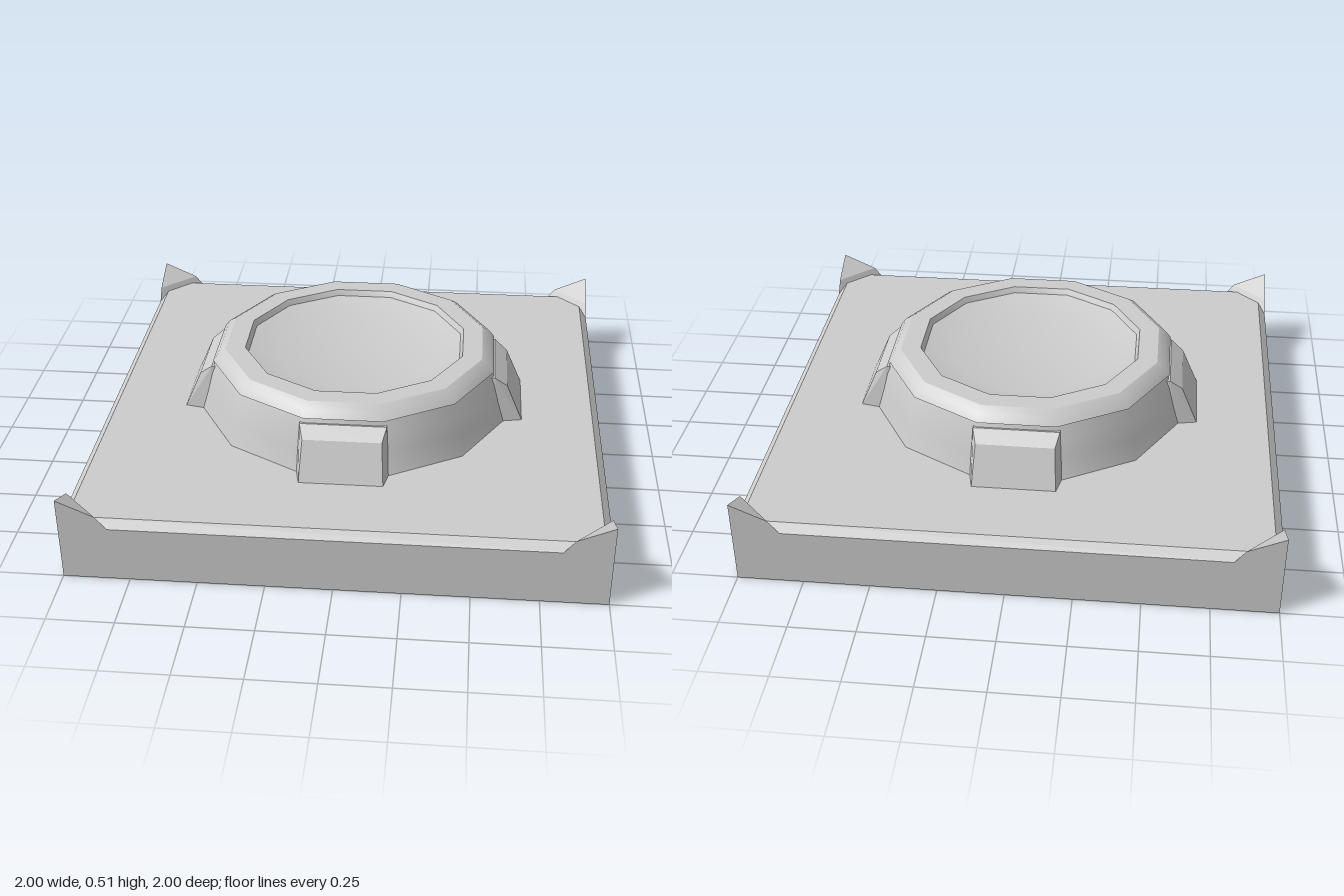
import * as THREE from 'three';
import { toCreasedNormals } from 'three/addons/utils/BufferGeometryUtils.js';
import { ConvexGeometry } from 'three/addons/geometries/ConvexGeometry.js';

const material = new THREE.MeshStandardMaterial({ color: 0xcccccc });

function hull(name, points) {
  const geometry = new ConvexGeometry(points.map((p) => new THREE.Vector3(...p)));
  const mesh = new THREE.Mesh(geometry, material);
  mesh.name = name;
  return mesh;
}

// Four corners of a horizontal square
const square = (r, y) => [[-r, y, -r], [r, y, -r], [r, y, r], [-r, y, r]];

// Mirrored pair of points across x = 0
const pair = (x, y, z) => [[-x, y, z], [x, y, z]];

export function createModel() {
  const group = new THREE.Group();

  // Square slab with a chamfered top edge
  group.add(hull('basePlate', [...square(1, 0), ...square(1, 0.22), ...square(0.97, 0.25)]));

  // Twelve-sided socket: flared wall, chamfered lip, shallow dish (apothem, height)
  const profile = [
    [0.618, 0.245], [0.595, 0.33], [0.575, 0.41], [0.555, 0.46],
    [0.565, 0.46], [0.545, 0.488], [0.515, 0.508],
    [0.437, 0.508], [0.425, 0.485], [0.315, 0.45], [0, 0.45],
  ].map(([a, y]) => new THREE.Vector2(a / Math.cos(Math.PI / 12), y));
  const ringGeometry = new THREE.LatheGeometry(profile, 12).rotateY(Math.PI / 12);
  const ring = new THREE.Mesh(toCreasedNormals(ringGeometry, 0.58), material);
  ring.name = 'socketRing';
  group.add(ring);

  for (let i = 0; i < 4; i++) {
    // Sloped buttress on each side of the socket
    const buttress = hull('buttress', [
      ...pair(0.16, 0.245, 0.687), ...pair(0.15, 0.4, 0.62),
      ...pair(0.165, 0.44, 0.57), ...pair(0.165, 0.44, 0.53),
      ...pair(0.178, 0.245, 0.6), ...pair(0.178, 0.245, 0.53),
    ]);
    buttress.rotation.y = (i * Math.PI) / 2;
    group.add(buttress);

    // Pointed cap on each corner of the plate
    const cap = hull('cornerCap', [
      [1, 0.22, 1], [1, 0.335, 1],
      [1, 0.272, 0.86], [0.86, 0.272, 1],
      [1, 0.22, 0.82], [0.82, 0.22, 1],
    ]);
    cap.rotation.y = (i * Math.PI) / 2;
    group.add(cap);
  }

  return group;
}
